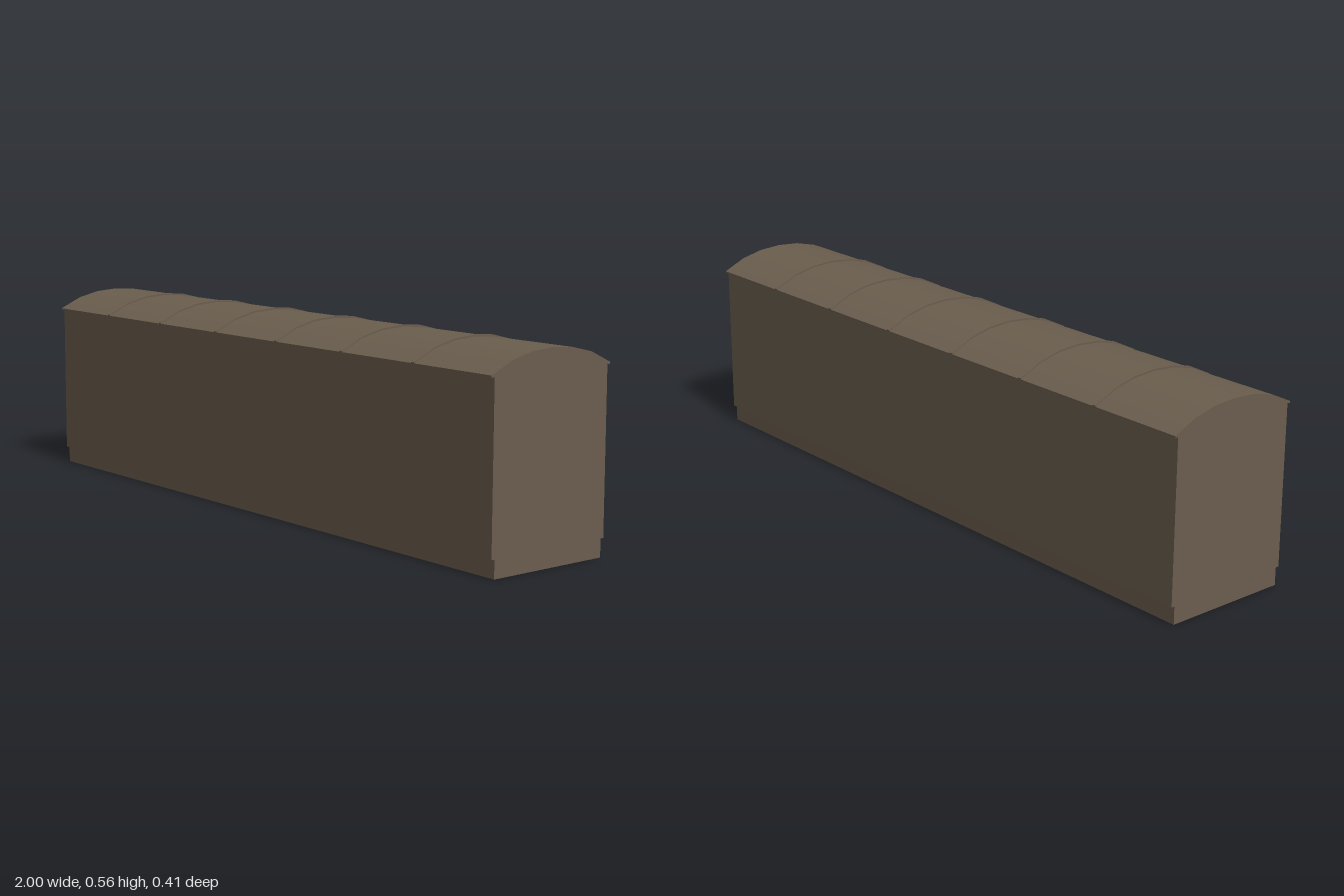
import * as THREE from 'three';
import { toCreasedNormals } from 'three/addons/utils/BufferGeometryUtils.js';

// Half arch from eave to ridge, as [z, y]
const ARCH = [[0.206, 0.504], [0.137, 0.536], [0.07, 0.552], [0, 0.557]];
const RIB = [[0.206, 0.507], [0.137, 0.54], [0.07, 0.557], [0, 0.562]];
const UNDER = [[0.196, 0.5], [0.137, 0.528], [0.07, 0.545], [0, 0.55]];

// Mirror a half arch into a full one running from +z to -z
const full = (half) => [...half, ...half.slice(0, -1).reverse().map(([z, y]) => [-z, y])];

// Extrude a closed cross-section along x, centred on x = 0
function section(points, length) {
  const shape = new THREE.Shape(points.map(([z, y]) => new THREE.Vector2(z, y)));
  const geo = new THREE.ExtrudeGeometry(shape, { depth: length, bevelEnabled: false });
  geo.translate(0, 0, -length / 2).rotateY(Math.PI / 2);
  return toCreasedNormals(geo, 0.6);
}

export function createModel() {
  const model = new THREE.Group();
  const brown = new THREE.MeshStandardMaterial({ color: 0x6b5e4e });
  brown.name = 'brown';

  const add = (name, geo, x = 0, y = 0) => {
    const mesh = new THREE.Mesh(geo, brown);
    mesh.name = name;
    mesh.position.set(x, y, 0);
    model.add(mesh);
  };

  // Recessed floor frame
  add('underframe', new THREE.BoxGeometry(2, 0.05, 0.374), 0, 0.025);

  // Walls with arched ends
  add('body', section([[-0.197, 0.05], [0.197, 0.05], ...full(UNDER)], 2));

  // Thin curved roof overhanging the walls
  add('roof', section([...full(ARCH), [-0.206, 0.498], ...full(UNDER).reverse(), [0.206, 0.498]], 2));

  // Raised strips over the roof joints
  const rib = section([...full(RIB), ...full(ARCH.map(([z, y]) => [z, y - 0.003])).reverse()], 0.012);
  for (let i = 0; i < 6; i++) add('roofRib', rib, (i - 2.5) * 2 / 7);

  return model;
}
